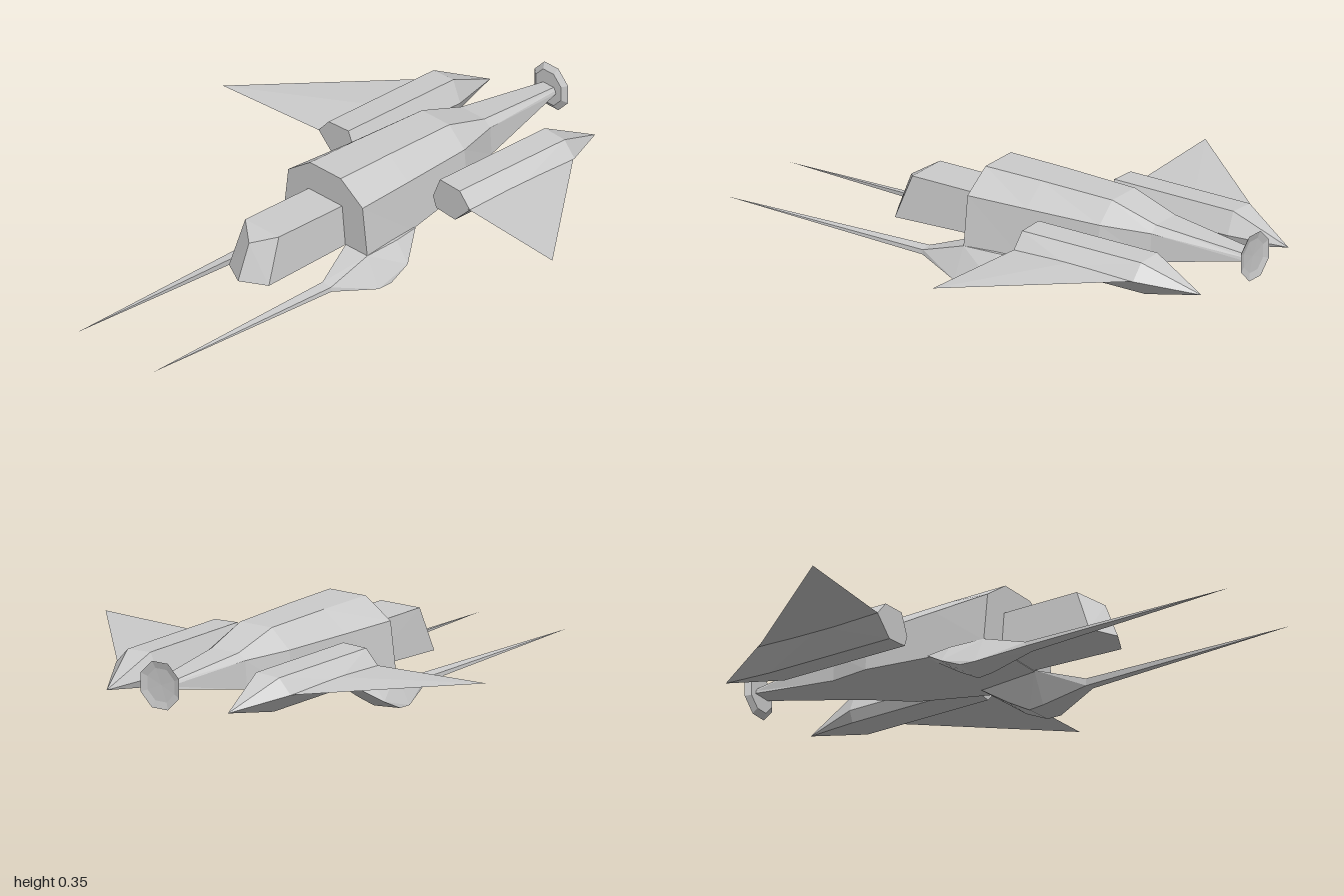
import * as THREE from 'three';
import { ConvexGeometry } from 'three/addons/geometries/ConvexGeometry.js';

const grey = new THREE.MeshStandardMaterial({ color: 0xcccccc, flatShading: true, side: THREE.DoubleSide });

function part(name, geometry) {
  const mesh = new THREE.Mesh(geometry, grey);
  mesh.name = name;
  return mesh;
}

// Faceted solid around a few corner points; side mirrors it in x
function hull(name, corners, side = 1) {
  return part(name, new ConvexGeometry(corners.map(([x, y, z]) => new THREE.Vector3(x * side, y, z))));
}

// Closed loft through rings running counter-clockwise seen from +z, front ring first
function loft(rings) {
  const n = rings[0].length;
  const index = [];
  for (let r = 0; r < rings.length - 1; r++) {
    for (let i = 0; i < n; i++) {
      const a = r * n + i, b = r * n + (i + 1) % n;
      index.push(a, a + n, b, b, a + n, b + n);
    }
  }
  const last = (rings.length - 1) * n;
  for (let i = 1; i < n - 1; i++) index.push(0, i, i + 1, last, last + i + 1, last + i);
  const g = new THREE.BufferGeometry();
  g.setAttribute('position', new THREE.Float32BufferAttribute(rings.flat(2), 3));
  g.setIndex(index);
  const flat = g.toNonIndexed();
  flat.computeVertexNormals();
  return flat;
}

export function createModel() {
  const model = new THREE.Group();
  model.name = 'spacecraft';

  // Fuselage stations: z, then half-width and height of belly, shoulder and roof
  const stations = [
    [0.035, 0.2, 0.105, 0.177, 0.282, 0.073, 0.352],
    [-0.19, 0.18, 0.11, 0.16, 0.282, 0.07, 0.352],
    [-0.47, 0.152, 0.148, 0.137, 0.282, 0.065, 0.348],
    [-0.64, 0.09, 0.176, 0.083, 0.274, 0.055, 0.296],
    [-0.99, 0.035, 0.242, 0.032, 0.252, 0.025, 0.262],
  ];
  model.add(part('fuselage', loft(stations.map(([z, bw, by, sw, sy, tw, ty]) => [
    [-bw, by, z], [bw, by, z], [sw, sy, z], [tw, ty, z], [-tw, ty, z], [-sw, sy, z],
  ]))));

  // Cockpit with a pointed, sloping front
  const cockpit = [[0, 0.217, 0.385], [0, 0.092, 0.435]];
  for (const s of [-1, 1]) {
    cockpit.push([s * 0.08, 0.25, 0.325], [s * 0.095, 0.094, 0.385],
      [s * 0.08, 0.25, 0.02], [s * 0.095, 0.108, 0.02]);
  }
  model.add(hull('cockpit', cockpit));

  // Octagonal tail dish, slightly hollow behind
  const dish = new THREE.LatheGeometry([
    [0, 0], [0.065, 0], [0.086, -0.014], [0.06, -0.008], [0, -0.006],
  ].map(([r, h]) => new THREE.Vector2(r, h)), 8);
  dish.rotateY(Math.PI / 8).rotateX(Math.PI / 2).translate(0, 0.252, -0.986);
  model.add(part('tailDish', dish));

  // Engine cross-section
  const section = [[0.218, 0.281], [0.312, 0.277], [0.36, 0.225], [0.29, 0.158], [0.2, 0.166], [0.185, 0.205]];

  for (const side of [1, -1]) {
    const label = side > 0 ? 'left' : 'right';

    // Engine nacelle tapering to a point at the rear
    const nacelle = section.flatMap(([x, y]) => [[x, y, -0.28], [x, y, -0.76]]);
    nacelle.push([0.37, 0.225, -0.5], [0.25, 0.188, -0.96]);
    model.add(hull(label + 'Engine', nacelle, side));

    // Thin swept wing
    model.add(hull(label + 'Wing', [
      [0.355, 0.225, -0.76], [0.35, 0.225, -0.28], [0.785, 0.225, -0.25],
      [0.365, 0.233, -0.5], [0.365, 0.217, -0.5],
    ], side));

    // Gun pod under the fuselage
    const muzzle = [[0.2, 0.04, 0.2], [0.198, 0.056, 0.2], [0.158, 0.06, 0.2], [0.16, 0.035, 0.2]];
    model.add(hull(label + 'GunPod', [
      [0.13, 0.112, -0.2], [0.185, 0.115, -0.2], [0.2, 0.115, -0.1],
      [0.252, 0.045, -0.1], [0.145, 0.045, -0.1],
      [0.257, 0.008, -0.02], [0.15, 0, -0.02], [0.255, 0.006, 0.035], [0.15, 0.004, 0.035],
      [0.2, 0.11, 0.035], [0.097, 0.11, 0.035], ...muzzle,
    ], side));

    // Long needle barrel
    model.add(hull(label + 'Barrel', [...muzzle, [0.18, 0.05, 1]], side));
  }
  return model;
}
